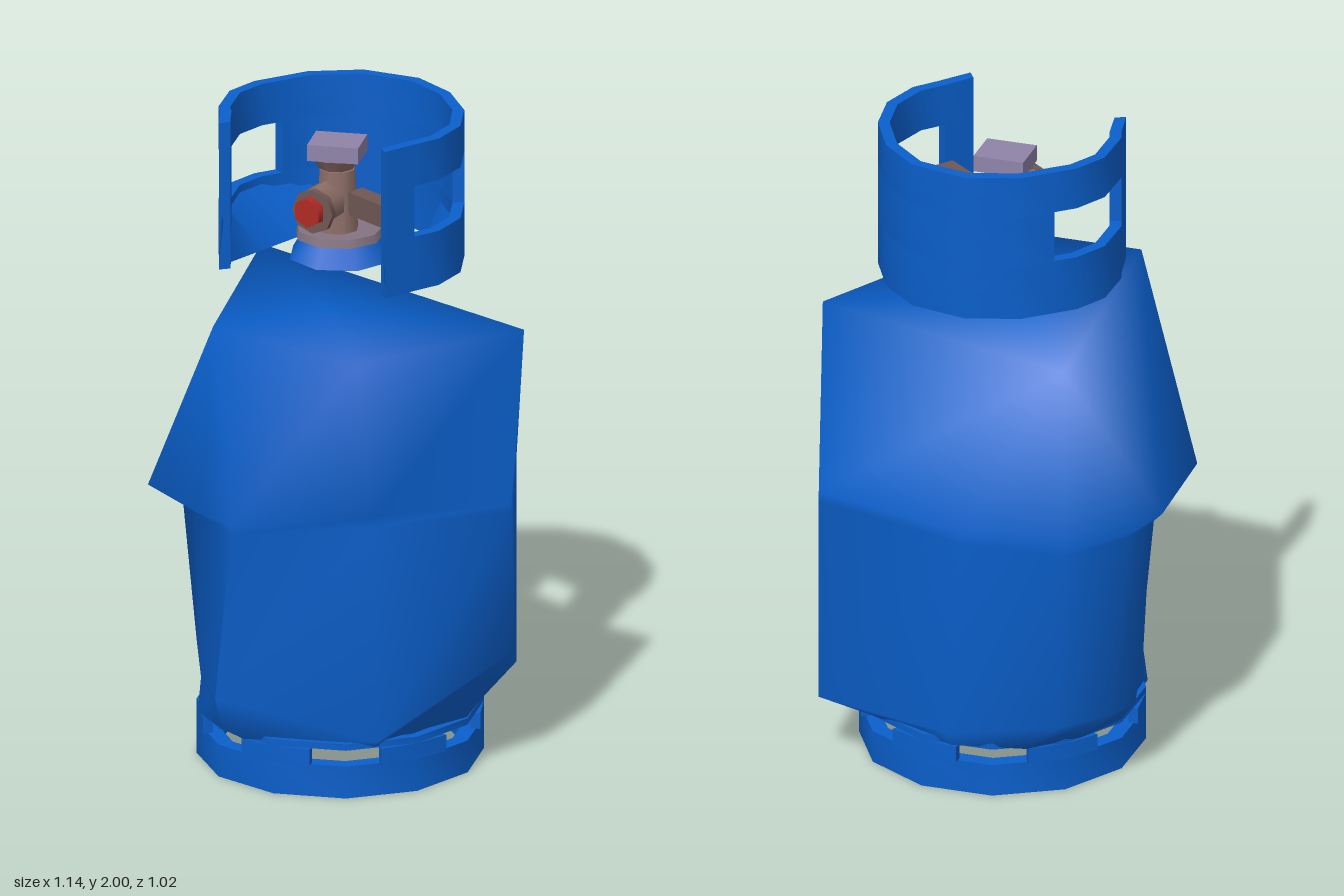
import * as THREE from 'three';
import { mergeVertices } from 'three/addons/utils/BufferGeometryUtils.js';

const blue = new THREE.MeshStandardMaterial({ name: 'blue paint', color: 0x0a5fcb, side: THREE.DoubleSide });
const brass = new THREE.MeshStandardMaterial({ name: 'dull brass', color: 0x8f6f68 });
const mauve = new THREE.MeshStandardMaterial({ name: 'mauve metal', color: 0x857482 });
const steel = new THREE.MeshStandardMaterial({ name: 'lilac steel', color: 0x8f83a8 });
const pipe = new THREE.MeshStandardMaterial({ name: 'brown pipe', color: 0x6f5753 });
const red = new THREE.MeshStandardMaterial({ name: 'red cap', color: 0xb02a24 });

function add(parent, name, geometry, material, pos = [0, 0, 0], rot = [0, 0, 0]) {
  const m = new THREE.Mesh(geometry, material);
  m.name = name;
  m.position.set(...pos);
  m.rotation.set(...rot);
  parent.add(m);
  return m;
}

// Smooth surface through rows of [x, y, z] points
function loft(rows, closed = false) {
  const n = rows[0].length, idx = [];
  for (let r = 0; r < rows.length - 1; r++) {
    for (let i = 0; i < (closed ? n : n - 1); i++) {
      const j = (i + 1) % n, a = r * n + i, b = r * n + j, c = a + n, d = b + n;
      idx.push(a, b, d, a, d, c);
    }
  }
  let g = new THREE.BufferGeometry();
  g.setAttribute('position', new THREE.Float32BufferAttribute(rows.flat(2), 3));
  g.setIndex(idx);
  g = mergeVertices(g);
  g.computeVertexNormals();
  return g;
}

// Thin wall with an inner and outer face along a path of [x, z] points
function addWall(parent, name, path, y0, y1, thick, centre) {
  const outer = y => path.map(([x, z]) => [x, y, z]);
  const inner = y => path.map(([x, z]) => {
    const dx = x - centre[0], dz = z - centre[1], k = 1 - thick / Math.hypot(dx, dz);
    return [centre[0] + dx * k, y, centre[1] + dz * k];
  });
  const faces = [
    [outer(y1), outer(y0)], [inner(y0), inner(y1)],
    [inner(y1), outer(y1)], [outer(y0), inner(y0)]
  ];
  for (const i of [0, path.length - 1]) {
    const o0 = outer(y0)[i], o1 = outer(y1)[i], n0 = inner(y0)[i], n1 = inner(y1)[i];
    faces.push(i ? [[o1, n1], [o0, n0]] : [[n1, o1], [n0, o0]]);
  }
  const g = new THREE.Group();
  g.name = name;
  faces.forEach(f => add(g, name + 'Face', loft(f), blue));
  parent.add(g);
}

export function createModel() {
  const model = new THREE.Group();
  model.name = 'gasBottle';

  // Dented tank: eleven columns run from the four rim corners to the foot
  const at = (y, pts) => pts.map(([x, z]) => [x, y, z]);
  const A = [-0.18, 1.45, 0.41], B = [0.29, 1.4, 0.39], C = [0.52, 1.35, -0.24], D = [-0.43, 1.42, -0.38];
  const rim = [A, A, A, D, D, D, D, C, C, C, B];
  const backSide = [[-0.46, -0.41], [-0.16, -0.51], [0.36, -0.5], [0.47, -0.28], [0.57, -0.06], [0.27, 0.24]];
  const ridge = at(0.87, [[-0.07, 0.51], [-0.19, 0.46], [-0.46, 0.29], [-0.57, -0.06], [-0.57, -0.19], ...backSide]);
  const underRidge = at(0.84, [[-0.07, 0.505], [-0.17, 0.42], [-0.35, 0.22], [-0.54, -0.06], [-0.54, -0.2], ...backSide]);
  const low = [
    [-0.15, 0.3, 0.455], [-0.17, 0.3, 0.4], [-0.34, 0.25, 0.18], [-0.5, 0.25, -0.1], [-0.49, 0.25, -0.2],
    [-0.41, 0.25, -0.37], [-0.1, 0.2, -0.5], [0.36, 0.2, -0.5], [0.45, 0.3, -0.3], [0.52, 0.36, -0.18], [0.3, 0.18, 0.28]
  ];
  const base = at(0.155, [
    [-0.1, 0.37], [-0.2, 0.32], [-0.33, 0.22], [-0.42, -0.06], [-0.39, -0.22], [-0.3, -0.38],
    [-0.1, -0.48], [0.2, -0.44], [0.36, -0.28], [0.41, -0.06], [0.28, 0.25]
  ]);
  const point = p => rim.map(() => p);
  add(model, 'tank', loft([point([0, 1.41, 0.02]), rim, ridge, underRidge, low, base], true), blue);
  add(model, 'tankBottom', loft([base, point([0, 0.17, -0.06])], true), blue);

  // Foot ring with six slots
  const foot = new THREE.Group();
  foot.name = 'footRing';
  model.add(foot);
  const footMid = [0, -0.06];
  const footArc = (a0, a1, n) => Array.from({ length: n + 1 }, (_, i) => {
    const t = a0 - (a0 - a1) * i / n;
    return [0.425 * Math.cos(t), -0.06 + 0.43 * Math.sin(t)];
  });
  addWall(foot, 'footBase', footArc(Math.PI * 2, 0, 12), 0, 0.1, 0.05, footMid);
  addWall(foot, 'footTop', footArc(Math.PI * 2, 0, 12), 0.15, 0.17, 0.03, footMid);
  for (let i = 0; i < 6; i++) {
    const t = (i + 0.5) * Math.PI / 3;
    addWall(foot, 'footPost', footArc(t + 0.27, t - 0.27, 2), 0.1, 0.15, 0.03, footMid);
  }

  // Open collar: top and bottom bands joined by posts around side windows
  const collar = new THREE.Group();
  collar.name = 'collar';
  model.add(collar);
  const path = [[0.275, 0.18], [0.32, 0.08], [0.36, 0], [0.365, -0.13], [0.31, -0.26], [0.2, -0.38], [0.06, -0.45],
    [-0.12, -0.44], [-0.26, -0.35], [-0.32, -0.26], [-0.36, -0.2], [-0.385, -0.09], [-0.35, 0.05], [-0.33, 0.08], [-0.28, 0.18]];
  const mid = [-0.01, -0.08];
  addWall(collar, 'collarBottom', path, 1.54, 1.71, 0.035, mid);
  addWall(collar, 'collarTop', path, 1.87, 2, 0.035, mid);
  addWall(collar, 'collarBack', path.slice(4, 10), 1.71, 1.87, 0.035, mid);
  addWall(collar, 'collarLeftPost', path.slice(0, 2), 1.71, 1.87, 0.035, mid);
  addWall(collar, 'collarRightPost', path.slice(13), 1.71, 1.87, 0.035, mid);

  // Slanted inner flanges at both sides of the collar
  const flange = (pts, end) => {
    const [sx, sz] = pts[0];
    const upper = pts.map(([x, z]) => [x * 0.97, 1.71, z]);
    const lower = pts.map((_, i) => {
      const k = i / (pts.length - 1);
      return [sx + (end[0] - sx) * k, 1.55, sz + (end[1] - sz) * k];
    });
    return [upper, lower];
  };
  add(collar, 'leftFlange', loft(flange(path.slice(0, 6), [0.14, -0.37]).reverse()), blue);
  add(collar, 'rightFlange', loft(flange(path.slice(8).reverse(), [-0.14, -0.37])), blue);

  // Neck and valve
  const valve = new THREE.Group();
  valve.name = 'valve';
  model.add(valve);
  const cyl = (rt, rb, h, n, open = false) => new THREE.CylinderGeometry(rt, rb, h, n, 1, open);
  const forward = [Math.PI / 2, 0, 0];
  add(valve, 'neck', cyl(0.12, 0.16, 0.07, 8, true), blue, [-0.01, 1.585, -0.085]);
  add(valve, 'spigot', cyl(0.1, 0.08, 0.08, 8), brass, [-0.01, 1.595, -0.08]);
  add(valve, 'neckFlange', cyl(0.13, 0.135, 0.025, 9), mauve, [-0.01, 1.628, -0.075]);
  add(valve, 'valveStem', cyl(0.055, 0.065, 0.2, 8), brass, [-0.01, 1.73, -0.06]);
  add(valve, 'valveBonnet', cyl(0.075, 0.05, 0.04, 8), brass, [-0.015, 1.845, -0.065]);
  add(valve, 'handle', new THREE.BoxGeometry(0.155, 0.05, 0.13), steel, [-0.013, 1.89, -0.065], [0, 0.27, 0]);
  add(valve, 'outletBody', cyl(0.062, 0.062, 0.12, 6), brass, [-0.02, 1.74, 0.02], forward);
  add(valve, 'outletNut', cyl(0.068, 0.068, 0.022, 8), pipe, [-0.01, 1.74, 0.09], forward);
  add(valve, 'outletCap', cyl(0.045, 0.048, 0.025, 6), red, [-0.015, 1.742, 0.113], forward);
  add(valve, 'sidePipe', new THREE.BoxGeometry(0.24, 0.07, 0.06), pipe, [0.155, 1.732, -0.02], [0, -0.4, 0]);
  return model;
}
